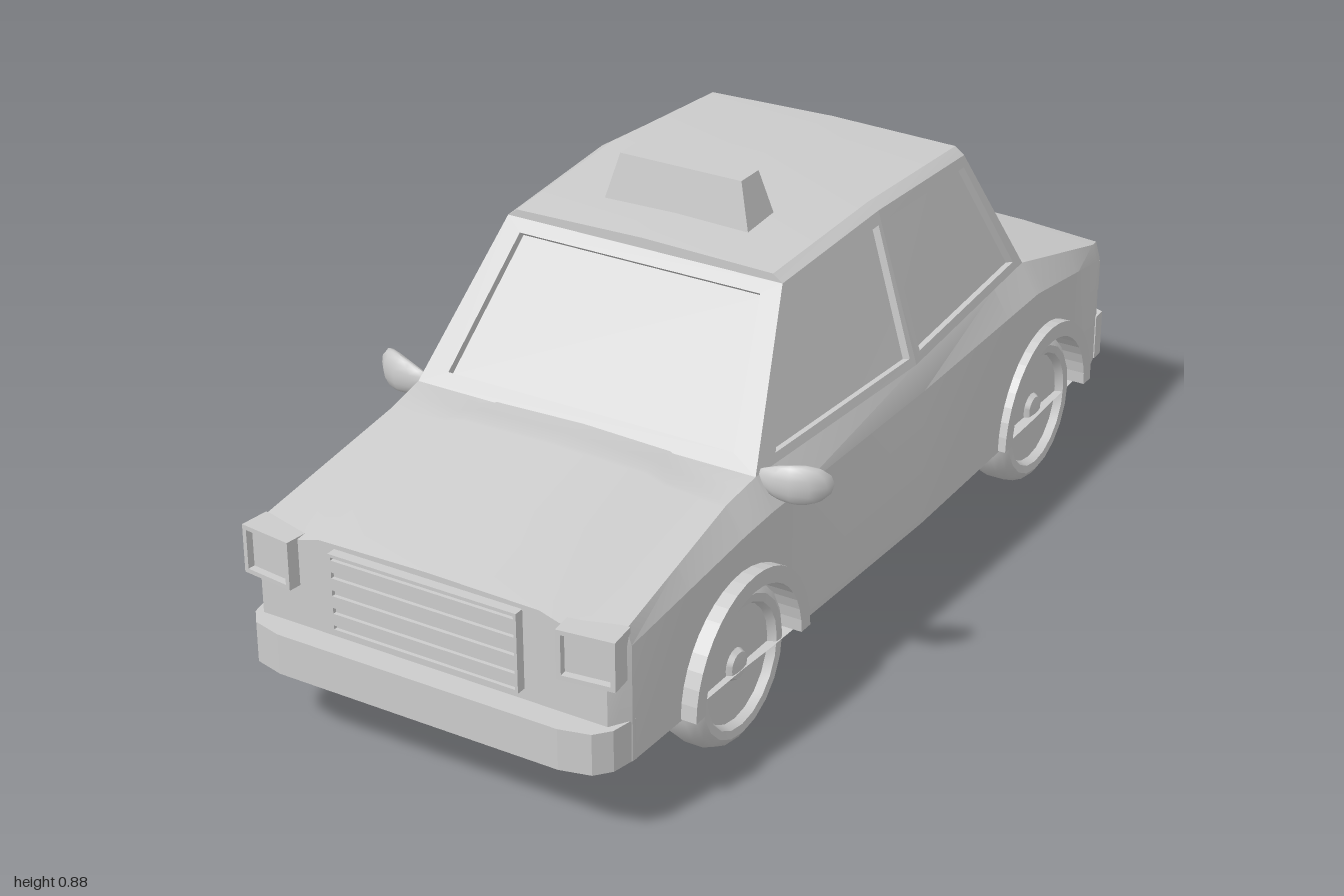
import * as THREE from 'three';
import { toCreasedNormals } from 'three/addons/utils/BufferGeometryUtils.js';

const material = new THREE.MeshStandardMaterial({ color: 0xcccccc, side: THREE.DoubleSide });
const FLOOR = 0.15, AXLE_Y = 0.16, WHEEL_Z = [0.56, -0.635], ARCH_R = 0.175;

function add(parent, name, geometry, x = 0, y = 0, z = 0) {
  const mesh = new THREE.Mesh(geometry, material);
  mesh.name = name;
  mesh.position.set(x, y, z);
  parent.add(mesh);
  return mesh;
}

// Geometry from a list of polygons (each split as a fan)
function fromPolygons(polygons, crease = 0.45) {
  const pos = [];
  for (const p of polygons)
    for (let i = 1; i < p.length - 1; i++) pos.push(...p[0], ...p[i], ...p[i + 1]);
  const g = new THREE.BufferGeometry();
  g.setAttribute('position', new THREE.Float32BufferAttribute(pos, 3));
  g.computeVertexNormals();
  return toCreasedNormals(g, crease);
}

// Quads between consecutive sections
function loft(sections) {
  const out = [];
  for (let i = 0; i < sections.length - 1; i++)
    for (let j = 0; j < sections[i].length - 1; j++)
      out.push([sections[i][j], sections[i][j + 1], sections[i + 1][j + 1], sections[i + 1][j]]);
  return out;
}

// Mirrors a right-hand half section (outer edge to centre) to the full width
const mirrorSection = half => [...half, ...half.slice(0, -1).reverse().map(([x, y, z]) => [-x, y, z])];

// Body stations: z, side half width, belt y, shoulder x, shoulder y, raised panel x, raised panel y
const stations = [
  [0.95, 0.37, 0.38, 0.36, 0.405, 0.235, 0.42],
  [0.91, 0.395, 0.38, 0.385, 0.41, 0.235, 0.428],
  [0.55, 0.402, 0.42, 0.365, 0.475, 0.2, 0.497],
  [0.46, 0.407, 0.43, 0.37, 0.49, 0.19, 0.492],
  [-0.09, 0.42, 0.44, 0.4, 0.49, 0.2, 0.49],
  [-0.6, 0.41, 0.44, 0.37, 0.5, 0.2, 0.507],
  [-0.91, 0.397, 0.39, 0.385, 0.425, 0.2, 0.437],
  [-0.95, 0.385, 0.38, 0.375, 0.415, 0.2, 0.427],
];

function stationAt(z) {
  const i = Math.max(1, stations.findIndex(s => s[0] <= z + 1e-6));
  const a = stations[i - 1], b = stations[i], t = (z - a[0]) / (b[0] - a[0]);
  return a.map((v, k) => v + (b[k] - v) * t);
}

function bodySection(z, bottom) {
  const [, w, beltY, sx, sy, bx, by] = stationAt(z);
  const step = z > 0.4 ? 0.012 : 0.003;
  return mirrorSection([[w, bottom, z], [w, beltY, z], [sx, sy, z], [bx + 0.04, by - step, z], [bx, by, z], [0, by + 0.004, z]]);
}

function bodyGeometry() {
  const columns = stations.map(s => [s[0], FLOOR]);
  for (const c of WHEEL_Z) {
    for (let i = columns.length - 1; i >= 0; i--)
      if (Math.abs(columns[i][0] - c) < ARCH_R) columns[i][1] = AXLE_Y + Math.sqrt(ARCH_R ** 2 - (columns[i][0] - c) ** 2);
    for (let k = 0; k <= 10; k++) {
      const a = Math.PI * k / 10;
      columns.push([c + ARCH_R * Math.cos(a), AXLE_Y + ARCH_R * Math.sin(a)]);
    }
    columns.push([c + ARCH_R + 0.001, FLOOR], [c - ARCH_R - 0.001, FLOOR]);
  }
  columns.sort((a, b) => b[0] - a[0]);
  const sections = columns.map(([z, y]) => bodySection(z, y));
  const floor = stations.map(([z, w]) => [[-w, FLOOR, z], [w, FLOOR, z]]);
  return fromPolygons([...loft(sections), ...loft(floor), sections[0], sections.at(-1).slice().reverse()]);
}

// Quad panel with a sunken pane: corners bottom a, bottom b, top b, top a
function windowPanel(q, u0, u1, v0, v1, depth = 0.016) {
  const [a, b, c, d] = q.map(p => new THREE.Vector3(...p));
  const at = (u, v) => a.clone().lerp(b, u).lerp(d.clone().lerp(c, u), v);
  const n = c.clone().sub(a).cross(d.clone().sub(b)).normalize().multiplyScalar(-depth);
  const rim = [at(u0, v0), at(u1, v0), at(u1, v1), at(u0, v1)];
  const pane = rim.map(p => p.clone().add(n).toArray());
  const r = rim.map(p => p.toArray()), polygons = [pane];
  for (let i = 0; i < 4; i++) {
    const j = (i + 1) % 4;
    polygons.push([q[i], q[j], r[j], r[i]], [r[i], r[j], pane[j], pane[i]]);
  }
  return fromPolygons(polygons, 0.2);
}

// Rectangular rim around a sunken back plate, facing +z
function framedPlate(parent, name, w, h, depth, rim) {
  const group = new THREE.Group();
  group.name = name;
  const rect = (P, x, y) => new P([[-x, -y], [x, -y], [x, y], [-x, y]].map(p => new THREE.Vector2(...p)));
  const shape = rect(THREE.Shape, w / 2, h / 2);
  shape.holes.push(rect(THREE.Path, w / 2 - rim, h / 2 - rim));
  add(group, name + 'Rim', new THREE.ExtrudeGeometry(shape, { depth, bevelEnabled: false }));
  add(group, name + 'Plate', new THREE.BoxGeometry(w - rim, h - rim, depth * 0.75), 0, 0, depth * 0.375);
  parent.add(group);
  return group;
}

// Bumper from a half outline in (x, z), extruded upwards
function bumper(parent, name, half, height) {
  const pts = [...half, ...half.slice().reverse().map(([x, z]) => [-x, z])];
  const shape = new THREE.Shape(pts.map(([x, z]) => new THREE.Vector2(x, -z)));
  const g = new THREE.ExtrudeGeometry(shape, { depth: height, bevelEnabled: false });
  g.rotateX(-Math.PI / 2);
  add(parent, name, g, 0, FLOOR, 0);
}

function addSide(parent) {
  // Side windows
  const A = [0.37, 0.49, 0.46], B = [0.4, 0.49, -0.09], C = [0.37, 0.5, -0.6];
  const a = [0.3, 0.77, 0.25], b = [0.31, 0.79, -0.09], c = [0.3, 0.77, -0.46];
  add(parent, 'frontSideWindow', windowPanel([A, B, b, a], 0.11, 0.97, 0.06, 0.92));
  add(parent, 'rearSideWindow', windowPanel([B, C, c, b], 0.05, 0.94, 0.06, 0.92));

  // Wheels, arches and wheel wells
  const profile = [[0, 0], [0.135, 0], [0.155, 0.012], [0.16, 0.03], [0.16, 0.068], [0.152, 0.086], [0.138, 0.096],
    [0.122, 0.094], [0.115, 0.078], [0.032, 0.078], [0.026, 0.088], [0, 0.092]];
  const tyre = toCreasedNormals(new THREE.LatheGeometry(profile.map(p => new THREE.Vector2(...p)), 20), 0.6);
  tyre.rotateZ(-Math.PI / 2);
  const arch = new THREE.Shape();
  arch.absarc(0, 0, 0.2, 0, Math.PI, false);
  arch.absarc(0, 0, 0.168, Math.PI, 0, true);
  const flare = new THREE.ExtrudeGeometry(arch, { depth: 0.12, bevelEnabled: false, curveSegments: 10 });
  flare.rotateY(Math.PI / 2);
  const well = new THREE.CircleGeometry(0.18, 16, 0, Math.PI).rotateY(Math.PI / 2);
  WHEEL_Z.forEach((z, i) => {
    const end = i ? 'rear' : 'front';
    add(parent, end + 'Wheel', tyre, 0.31, AXLE_Y, z);
    add(parent, end + 'WheelArch', flare, 0.31, AXLE_Y - 0.006, z);
    add(parent, end + 'WheelWell', well, 0.312, AXLE_Y - 0.006, z);
  });

  // Door mirror, tapering towards the body
  const pod = new THREE.SphereGeometry(1, 12, 8);
  const p = pod.attributes.position;
  for (let i = 0; i < p.count; i++) {
    const x = p.getX(i), k = 0.78 + 0.22 * x;
    p.setXYZ(i, x * 0.076, p.getY(i) * 0.048 * k, p.getZ(i) * 0.026 * k - 0.02 * x * x);
  }
  pod.computeVertexNormals();
  add(parent, 'doorMirror', pod, 0.428, 0.48, 0.435).rotation.y = 0.3;

  // Lamps
  const head = framedPlate(parent, 'headlight', 0.112, 0.097, 0.06, 0.009);
  head.position.set(0.333, 0.363, 0.91);
  head.rotation.y = 0.12;
  const tail = framedPlate(parent, 'tailLight', 0.105, 0.066, 0.03, 0.007);
  tail.position.set(0.325, 0.333, -0.94);
  tail.rotation.y = Math.PI - 0.06;
}

export function createModel() {
  const car = new THREE.Group();
  car.name = 'sedanCar';
  add(car, 'body', bodyGeometry());

  // Roof
  const roof = [[0.25, 0], [-0.09, 0.018], [-0.46, 0]].map(([z, h]) =>
    mirrorSection([[0.3 + h * 0.55, 0.77 + h * 1.1, z], [0.28 + h * 0.4, 0.785 + h, z], [0, 0.791 + h, z]]));
  add(car, 'roof', fromPolygons([...loft(roof), roof[0], roof[2].slice().reverse()]));

  // Windscreen and rear window
  add(car, 'windscreen', windowPanel([[-0.37, 0.49, 0.46], [0.37, 0.49, 0.46], [0.3, 0.77, 0.25], [-0.3, 0.77, 0.25]], 0.07, 0.93, 0.09, 0.92));
  add(car, 'rearWindow', windowPanel([[0.37, 0.5, -0.6], [-0.37, 0.5, -0.6], [-0.3, 0.77, -0.46], [0.3, 0.77, -0.46]], 0.1, 0.9, 0.11, 0.89));

  // Both sides
  for (const s of [1, -1]) {
    const side = new THREE.Group();
    side.name = s > 0 ? 'leftSide' : 'rightSide';
    side.scale.x = s;
    addSide(side);
    car.add(side);
  }

  // Grille with slats
  framedPlate(car, 'grille', 0.4, 0.158, 0.03, 0.006).position.set(0, 0.333, 0.94);
  for (let i = 0; i < 4; i++)
    add(car, 'grilleSlat', new THREE.BoxGeometry(0.39, 0.024, 0.014), 0, 0.28 + i * 0.036, 0.963);

  // Boot panel and bumpers
  const panel = framedPlate(car, 'bootPanel', 0.4, 0.072, 0.02, 0.005);
  panel.position.set(0, 0.29, -0.945);
  panel.rotation.y = Math.PI;
  bumper(car, 'frontBumper', [[0.396, 0.9], [0.385, 0.955], [0.36, 0.985], [0.3, 1]], 0.082);
  bumper(car, 'rearBumper', [[0.392, -0.935], [0.39, -0.968], [0.36, -0.98], [0.001, -1]], 0.098);

  // Roof sign
  const sign = new THREE.BoxGeometry(0.32, 0.1, 0.1);
  const p = sign.attributes.position;
  for (let i = 0; i < p.count; i++)
    if (p.getY(i) > 0) p.setXYZ(i, p.getX(i) * 0.83, p.getY(i), p.getZ(i) * 0.62);
  sign.computeVertexNormals();
  add(car, 'roofSign', sign, 0, 0.835, 0.085);
  return car;
}
